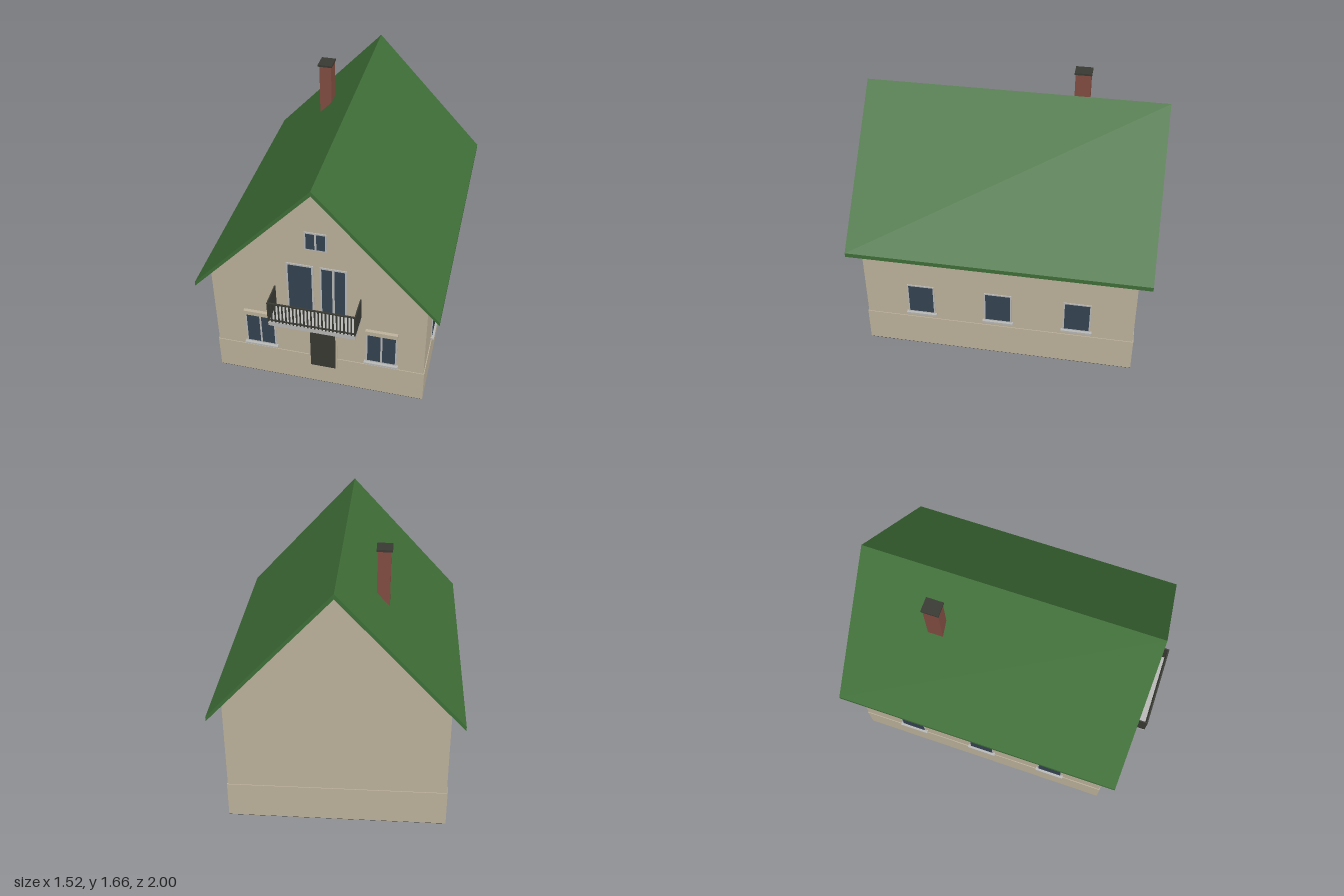
import * as THREE from 'three';

const mat = (name, color) => {
  const m = new THREE.MeshStandardMaterial({ color });
  m.name = name;
  return m;
};

export function createModel() {
  const wall = mat('plaster', 0xbdb29c);
  const green = mat('roofGreen', 0x3f6f38);
  const glass = mat('glass', 0x344350);
  const dark = mat('darkMetal', 0x3a3a34);
  const trim = mat('lightTrim', 0xb9b9b8);
  const brick = mat('brick', 0x824d41);

  const house = new THREE.Group();
  house.name = 'house';

  // box given by its min and max corners
  const box = (name, m, x0, x1, y0, y1, z0, z1, parent = house) => {
    const mesh = new THREE.Mesh(new THREE.BoxGeometry(x1 - x0, y1 - y0, z1 - z0), m);
    mesh.position.set((x0 + x1) / 2, (y0 + y1) / 2, (z0 + z1) / 2);
    mesh.name = name;
    parent.add(mesh);
    return mesh;
  };
  // outline in x, y drawn out from z0 to z1
  const prism = (name, m, pts, z0, z1) => {
    const shape = new THREE.Shape(pts.map(p => new THREE.Vector2(p[0], p[1])));
    const geo = new THREE.ExtrudeGeometry(shape, { depth: z1 - z0, bevelEnabled: false });
    geo.translate(0, 0, z0);
    const mesh = new THREE.Mesh(geo, m);
    mesh.name = name;
    house.add(mesh);
  };

  // walls, plinth and floor
  prism('gableWalls', wall,
    [[-0.68, 0.2], [0.68, 0.2], [0.68, 0.86], [0, 1.596], [-0.68, 0.86]], -0.916, 0.84);
  box('plinth', wall, -0.685, 0.685, 0.003, 0.24, -0.921, 0.845);
  box('floor', dark, -0.684, 0.684, 0, 0.003, -0.92, 0.844);

  // roof
  prism('roof', green,
    [[0, 1.62], [-0.76, 0.795], [-0.76, 0.766], [0, 1.588], [0.76, 0.766], [0.76, 0.795]], -1, 0.92);

  // chimney
  box('chimney', brick, -0.295, -0.215, 1.2, 1.652, -0.49, -0.39);
  box('chimneyCap', dark, -0.305, -0.209, 1.652, 1.665, -0.496, -0.384);

  // window facing +z around its own origin, with a frame and evenly split panes
  const makeWindow = (name, w, y0, y1, panes, border, bar) => {
    const g = new THREE.Group();
    g.name = name;
    box('frame', trim, -w / 2, w / 2, y0, y1, -0.01, 0.006, g);
    const pw = (w - 2 * border - bar * (panes - 1)) / panes;
    for (let i = 0; i < panes; i++) {
      const x = -w / 2 + border + i * (pw + bar);
      box('pane', glass, x, x + pw, y0 + border, y1 - border, 0.005, 0.008, g);
    }
    house.add(g);
    return g;
  };

  // ground floor front windows with lintel and sill
  for (const x of [-0.382, 0.406]) {
    const g = makeWindow('frontWindow', 0.2, 0.277, 0.526, 2, 0.011, 0.013);
    box('lintel', wall, -0.102, 0.102, 0.526, 0.557, -0.01, 0.022, g);
    box('sill', trim, -0.11, 0.11, 0.264, 0.277, -0.01, 0.024, g);
    g.position.set(x, 0, 0.84);
  }

  // attic window
  makeWindow('atticWindow', 0.136, 1.134, 1.266, 2, 0.01, 0.013).position.set(-0.002, 0, 0.84);

  // balcony doors
  makeWindow('balconyDoorLeft', 0.17, 0.64, 1.008, 1, 0.012, 0.01).position.set(-0.106, 0, 0.84);
  makeWindow('balconyDoorRight', 0.166, 0.64, 1.008, 2, 0.011, 0.016).position.set(0.102, 0, 0.84);

  // entrance door
  box('doorFrame', wall, -0.063, 0.12, 0.16, 0.526, 0.83, 0.85);
  box('frontDoor', dark, -0.054, 0.11, 0.158, 0.517, 0.84, 0.854);

  // three windows on each side
  for (const side of [-1, 1]) {
    for (const z of [0.47, -0.037, -0.55]) {
      const g = makeWindow('sideWindow', 0.178, 0.288, 0.517, 1, 0.009, 0);
      box('sill', trim, -0.1, 0.1, 0.276, 0.289, -0.01, 0.022, g);
      g.rotation.y = side * Math.PI / 2;
      g.position.set(side * 0.68, 0, z);
    }
  }

  // balcony slab, side panels and railing
  box('balconySlab', trim, -0.272, 0.272, 0.613, 0.645, 0.83, 0.998);
  for (const s of [-1, 1]) {
    box('balconySide', dark, s * 0.27 - 0.004, s * 0.27 + 0.004, 0.645, 0.8, 0.84, 1);
  }
  box('topRail', dark, -0.274, 0.274, 0.792, 0.8, 0.99, 1);
  box('bottomRail', dark, -0.274, 0.274, 0.655, 0.663, 0.991, 0.999);
  const bars = 24;
  for (let i = 1; i < bars; i++) {
    const x = -0.27 + (0.54 * i) / bars;
    box('baluster', dark, x - 0.004, x + 0.004, 0.645, 0.795, 0.991, 0.999);
  }

  return house;
}
